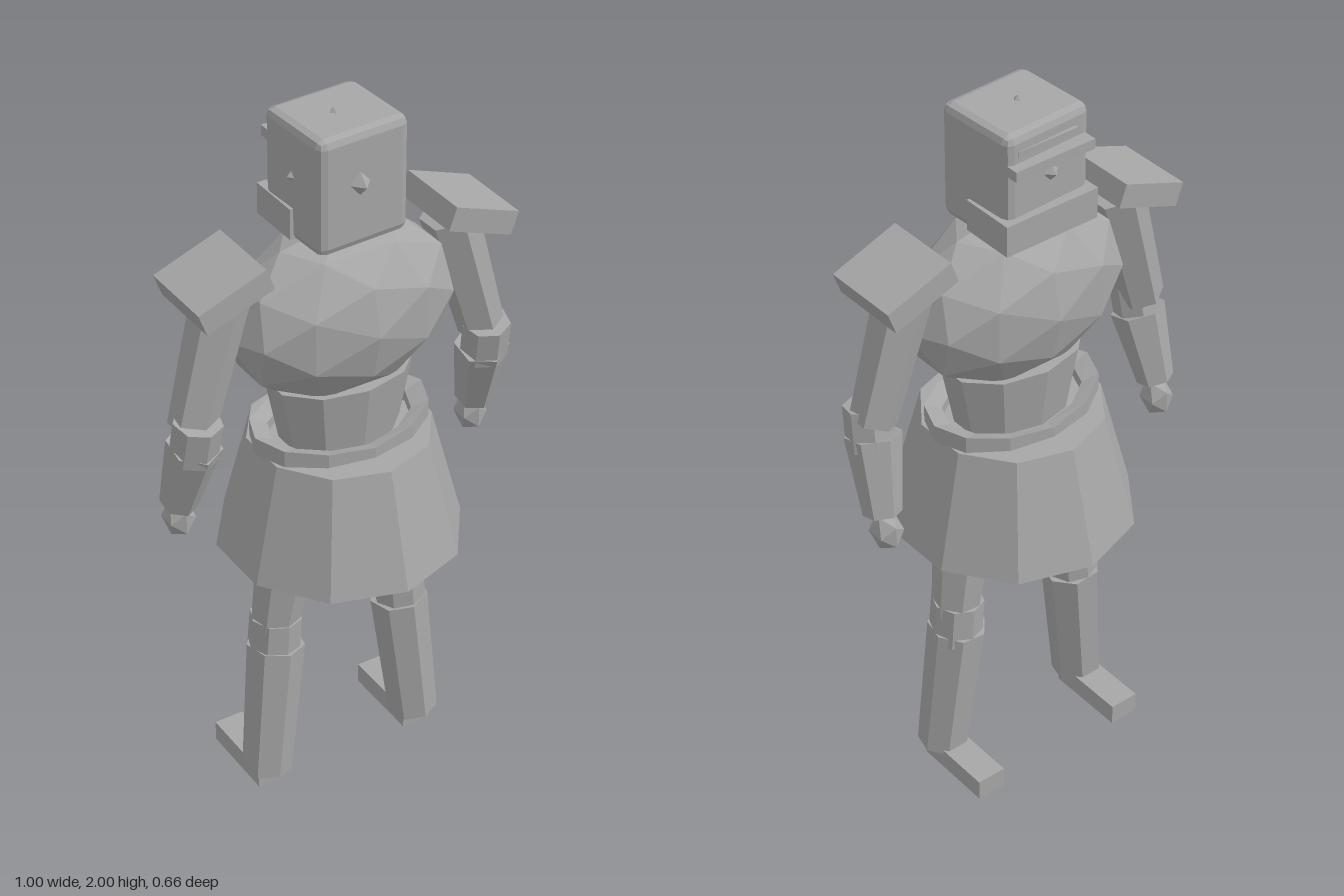
import * as THREE from 'three';
import { RoundedBoxGeometry } from 'three/addons/geometries/RoundedBoxGeometry.js';

export function createModel() {
  const model = new THREE.Group();
  model.name = 'armouredFigure';
  const grey = new THREE.MeshStandardMaterial({ color: 0xa6a6a6, flatShading: true });
  grey.name = 'plainGrey';

  function add(name, geometry, x = 0, y = 0, z = 0, parent = model) {
    const mesh = new THREE.Mesh(geometry, grey);
    mesh.name = name;
    mesh.position.set(x, y, z);
    parent.add(mesh);
    return mesh;
  }

  // Tapered faceted limb running from point a (radius ra) down to point b (radius rb)
  function limb(name, a, b, ra, rb, sides, parent) {
    const from = new THREE.Vector3(...a), to = new THREE.Vector3(...b);
    const dir = from.clone().sub(to);
    const mesh = add(name, new THREE.CylinderGeometry(ra, rb, dir.length(), sides), 0, 0, 0, parent);
    mesh.position.copy(from).add(to).multiplyScalar(0.5);
    mesh.quaternion.setFromUnitVectors(new THREE.Vector3(0, 1, 0), dir.normalize());
    return mesh;
  }

  // Skirt and waist
  add('skirt', new THREE.CylinderGeometry(0.245, 0.33, 0.325, 10), 0, 0.922, 0);
  const waist = new THREE.CylinderGeometry(0.205, 0.165, 0.2, 10);
  waist.scale(1, 1, 0.7);
  add('waist', waist, 0, 1.17, 0);

  // Belt: hollow oval ring whose top edge dips between the hips
  const beltProfile = [[0.2, 0], [0.25, 0], [0.25, 0.05], [0.2, 0.035], [0.2, 0]]
    .map(([r, y]) => new THREE.Vector2(r, y));
  const belt = new THREE.LatheGeometry(beltProfile, 12);
  const bp = belt.attributes.position;
  for (let i = 0; i < bp.count; i++) {
    const side = Math.abs(bp.getX(i)) / 0.25;
    bp.setXYZ(i, bp.getX(i), bp.getY(i) * (0.6 + 0.4 * side), bp.getZ(i) * 0.69);
  }
  belt.computeVertexNormals();
  add('belt', belt, 0, 1.084, 0);

  // Broad faceted chest, flattened underneath
  const chest = new THREE.IcosahedronGeometry(1, 1);
  const cp = chest.attributes.position;
  for (let i = 0; i < cp.count; i++) {
    cp.setXYZ(i, cp.getX(i) * 0.325, Math.max(cp.getY(i), -0.9) * 0.24, cp.getZ(i) * 0.19);
  }
  chest.computeVertexNormals();
  add('chest', chest, 0, 1.45, 0);

  // Head with a faceted core whose points break through the helmet
  add('neck', new THREE.CylinderGeometry(0.07, 0.08, 0.1, 8), 0, 1.66, -0.01);
  const helmet = add('helmet', new RoundedBoxGeometry(0.262, 0.315, 0.24, 1, 0.022), 0, 1.83, -0.012);
  helmet.rotation.y = 0.05;
  const core = new THREE.OctahedronGeometry(0.148);
  core.scale(0.9, 1.02, 1);
  add('headCore', core, -0.01, 1.849, -0.008);
  add('jawGuard', new THREE.BoxGeometry(0.28, 0.085, 0.155), 0, 1.72, -0.078);
  add('browBar', new THREE.BoxGeometry(0.24, 0.028, 0.04), 0, 1.898, -0.145);
  add('browTrim', new THREE.BoxGeometry(0.18, 0.016, 0.02), 0, 1.935, -0.128);

  // Arms and legs, mirrored
  for (const s of [1, -1]) {
    const side = s > 0 ? 'left' : 'right';
    const arm = new THREE.Group();
    arm.name = side + 'Arm';
    model.add(arm);
    const pad = add('shoulderPad', new THREE.BoxGeometry(0.2, 0.065, 0.22), s * 0.355, 1.63, 0, arm);
    pad.rotation.z = -s * 0.35;
    limb('upperArm', [s * 0.325, 1.61, -0.005], [s * 0.432, 1.24, 0.005], 0.075, 0.062, 6, arm);
    limb('elbow', [s * 0.428, 1.27, 0.03], [s * 0.435, 1.16, 0.01], 0.065, 0.065, 7, arm);
    limb('forearm', [s * 0.43, 1.19, 0.012], [s * 0.45, 0.985, -0.045], 0.073, 0.05, 6, arm);
    const hand = new THREE.IcosahedronGeometry(0.05, 0);
    hand.scale(0.85, 1.15, 1);
    add('hand', hand, s * 0.447, 0.935, -0.055, arm);

    const leg = new THREE.Group();
    leg.name = side + 'Leg';
    model.add(leg);
    limb('thigh', [s * 0.15, 0.85, 0], [s * 0.2, 0.5, -0.01], 0.088, 0.064, 7, leg);
    limb('knee', [s * 0.192, 0.54, -0.01], [s * 0.202, 0.42, -0.01], 0.071, 0.072, 8, leg);
    limb('shin', [s * 0.195, 0.45, -0.01], [s * 0.238, 0.045, 0.005], 0.08, 0.07, 7, leg);
    add('foot', new THREE.BoxGeometry(0.085, 0.06, 0.235), s * 0.235, 0.03, -0.087, leg);
  }

  return model;
}
